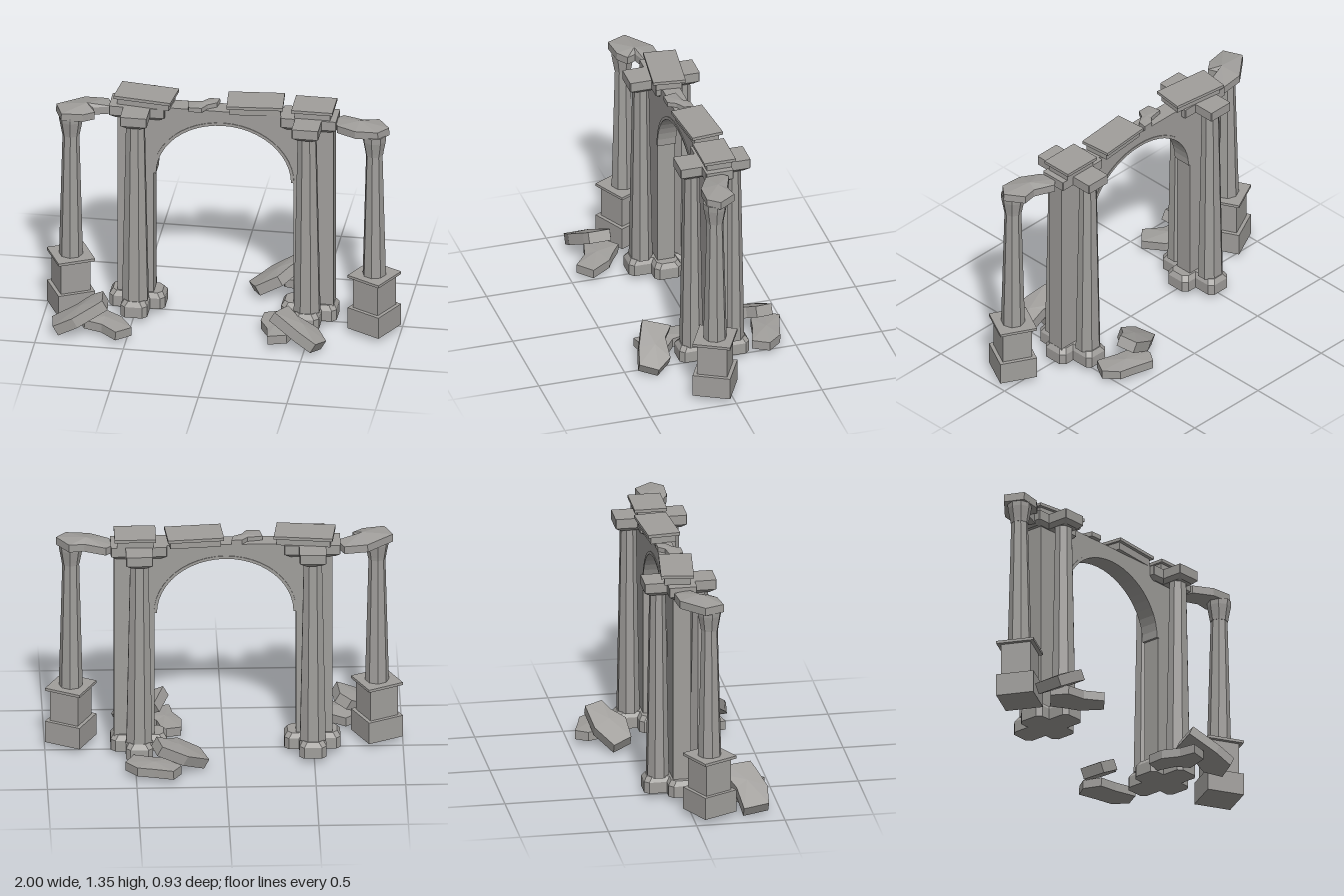
import * as THREE from 'three';

const stone = new THREE.MeshStandardMaterial({ color: 0xa09e9b, flatShading: true });
stone.name = 'weatheredStone';

// Joins rings of [x, y, z] points, bottom to top; peak lifts the centre of the top face
function loft(rings, peak = 0) {
  const n = rings[0].length;
  let area = 0;
  rings[0].forEach((p, i) => {
    const q = rings[0][(i + 1) % n];
    area += p[0] * q[2] - q[0] * p[2];
  });
  if (area < 0) rings = rings.map(r => [...r].reverse());
  const centre = r => [0, 1, 2].map(k => r.reduce((s, p) => s + p[k], 0) / n);
  const bottom = rings[0], top = rings[rings.length - 1];
  const cb = centre(bottom), ct = centre(top);
  ct[1] += peak;
  const pos = [];
  const tri = (...pts) => pts.forEach(p => pos.push(...p));
  for (let i = 0; i < n; i++) {
    const j = (i + 1) % n;
    for (let k = 0; k + 1 < rings.length; k++) {
      const a = rings[k], b = rings[k + 1];
      tri(a[i], b[i], a[j]);
      tri(a[j], b[i], b[j]);
    }
    tri(cb, bottom[i], bottom[j]);
    tri(ct, top[j], top[i]);
  }
  const g = new THREE.BufferGeometry();
  g.setAttribute('position', new THREE.Float32BufferAttribute(pos, 3));
  g.computeVertexNormals();
  return g;
}

// Plus-shaped outline with clipped arm ends
function crossRing(y, inset, clip) {
  const hx = 0.157 - inset, hz = 0.203 - inset, ax = 0.075 - inset, az = 0.079 - inset;
  const q = [[hx, az - clip], [hx - clip, az], [ax, az], [ax, hz - clip], [ax - clip, hz]];
  const flip = (sx, sz, rev) => {
    const r = q.map(([x, z]) => [x * sx, y, z * sz]);
    return rev ? r.reverse() : r;
  };
  return [...flip(1, 1), ...flip(-1, 1, true), ...flip(-1, -1), ...flip(1, -1, true)];
}

// Broken slab: top outline [x, z], sloped along x, with thickness square to the slope
function slab(outline, x0, y0, slope, thick, peak) {
  const len = Math.hypot(1, slope);
  const nx = -slope / len * thick, ny = thick / len;
  const top = outline.map(([x, z]) => [x, y0 + slope * (x - x0), z]);
  const bottom = top.map(([x, y, z]) => [x - nx, y - ny, z]);
  return loft([bottom, top], peak);
}

export function createModel() {
  const model = new THREE.Group();
  model.name = 'ruinedArch';
  const add = (name, geo, x = 0, y = 0, z = 0, parent = model) => {
    const m = new THREE.Mesh(geo, stone);
    m.name = name;
    m.position.set(x, y, z);
    parent.add(m);
    return m;
  };
  const box = (w, h, d) => new THREE.BoxGeometry(w, h, d);
  const ZC = -0.016, CX = -0.005;

  // Wall with arched opening
  const wall = new THREE.Shape();
  wall.moveTo(-0.605, 0.1);
  wall.lineTo(-0.4, 0.1);
  wall.lineTo(-0.4, 0.88);
  wall.absellipse(CX, 0.88, 0.395, 0.345, Math.PI, 0, true);
  wall.lineTo(0.39, 0.1);
  wall.lineTo(0.615, 0.1);
  wall.lineTo(0.615, 1.298);
  wall.lineTo(-0.605, 1.298);
  add('archWall', new THREE.ExtrudeGeometry(wall, { depth: 0.1, bevelEnabled: false, curveSegments: 12 }), 0, 0, ZC - 0.05);

  // Thin lining of the arch
  const trim = new THREE.Shape();
  trim.absellipse(CX, 0.88, 0.398, 0.348, Math.PI, 0, true);
  trim.lineTo(CX + 0.381, 0.88);
  trim.absellipse(CX, 0.88, 0.381, 0.331, 0, Math.PI, false);
  add('archTrim', new THREE.ExtrudeGeometry(trim, { depth: 0.108, bevelEnabled: false, curveSegments: 12 }), 0, 0, ZC - 0.054);

  // Cross-shaped bases and caps, with a shaft before and behind each pier
  const base = loft([crossRing(0.035, 0, 0.025), crossRing(0.1, 0, 0.025), crossRing(0.127, 0.018, 0.025)]);
  const cap = loft([crossRing(1.22, 0.022, 0.012), crossRing(1.242, 0, 0.004), crossRing(1.298, 0, 0.004)]);
  const shaft = new THREE.CylinderGeometry(0.055, 0.078, 1.1, 8);
  shaft.rotateY(Math.PI / 8);
  shaft.scale(1, 1, 0.84);
  for (const [side, x] of [['right', -0.492], ['left', 0.477]]) {
    add(side + 'PierBase', base, x, 0, ZC);
    add(side + 'PierCap', cap, x, 0, ZC);
    add(side + 'FrontShaft', shaft, x, 0.672, ZC + 0.12);
    add(side + 'BackShaft', shaft, x, 0.672, ZC - 0.12);
  }

  // Remaining cornice blocks
  for (const [x, z, w, turn] of [[-0.45, -0.022, 0.33, -0.125], [0.167, -0.025, 0.315, 0.09], [0.498, -0.023, 0.232, 0]]) {
    const block = new THREE.Group();
    block.name = 'corniceBlock';
    block.position.set(x, 1.295, z);
    block.rotation.y = turn;
    add('corniceBody', box(w - 0.03, 0.045, 0.145), 0, 0.0225, 0, block);
    add('corniceLip', box(w, 0.018, 0.184), 0, 0.052, 0, block);
    model.add(block);
  }

  // Free-standing columns on turned pedestals
  const capital = new THREE.LatheGeometry(
    [[0, 1.125], [0.05, 1.125], [0.053, 1.145], [0.066, 1.215], [0.068, 1.25], [0, 1.25]].map(p => new THREE.Vector2(...p)), 8);
  capital.rotateY(Math.PI / 8);
  for (const [side, x, z, turn] of [['right', -0.857, 0.097, 0.464], ['left', 0.853, 0.08, -0.486]]) {
    const column = new THREE.Group();
    column.name = side + 'OuterColumn';
    column.position.set(x, 0, z);
    column.rotation.y = turn;
    add('pedestalFoot', box(0.214, 0.13, 0.214), 0, 0.1, 0, column);
    add('pedestalBody', box(0.172, 0.2, 0.172), 0, 0.26, 0, column);
    add('pedestalLip', box(0.214, 0.016, 0.214), 0, 0.362, 0, column);
    add('outerShaft', new THREE.CylinderGeometry(0.047, 0.067, 0.77, 8), 0, 0.75, 0, column).rotation.y = Math.PI / 8;
    add('capital', capital, 0, 0, 0, column);
    model.add(column);
  }

  // Broken beams between outer columns and piers, and a loose stone on the wall
  add('rightBrokenBeam', slab([[-0.945, 0.06], [-0.8, -0.06], [-0.67, -0.07], [-0.63, 0.02], [-0.74, 0.06],
    [-0.72, 0.11], [-0.78, 0.155], [-0.9, 0.17]], -0.945, 1.287, -0.04, 0.045, 0.025));
  add('leftBrokenBeam', slab([[0.62, -0.02], [0.66, -0.06], [0.78, -0.015], [0.865, -0.03], [0.935, 0.07],
    [0.88, 0.135], [0.75, 0.13], [0.64, 0.07]], 0.62, 1.28, 0.035, 0.045, 0.02));
  add('looseStone', slab([[-0.215, -0.015], [-0.13, -0.03], [-0.1, -0.065], [-0.04, -0.07], [-0.05, -0.015],
    [-0.1, 0.015], [-0.125, 0.06], [-0.2, 0.06]], -0.215, 1.322, 0.02, 0.027, 0.007));

  // Fallen slabs: one lying flat and one leaning in each heap
  add('flatSlab', slab([[-0.685, 0.175], [-0.61, 0.23], [-0.545, 0.27], [-0.47, 0.385], [-0.55, 0.46],
    [-0.64, 0.385], [-0.74, 0.36], [-0.79, 0.27]], -0.685, 0.09, -0.04, 0.052, 0.015));
  add('leaningSlab', slab([[-0.935, 0.28], [-0.8, 0.26], [-0.72, 0.215], [-0.655, 0.235], [-0.64, 0.365],
    [-0.68, 0.385], [-0.8, 0.435], [-0.91, 0.425]], -0.935, 0.06, 0.56, 0.063, 0.012));
  add('flatSlab', slab([[0.235, 0.1], [0.34, 0.07], [0.37, 0.18], [0.44, 0.23], [0.4, 0.36],
    [0.295, 0.385], [0.28, 0.29], [0.23, 0.2]], 0.235, 0.085, 0.03, 0.052, 0.01));
  add('leaningSlab', slab([[0.385, 0.195], [0.445, 0.245], [0.56, 0.25], [0.62, 0.335], [0.575, 0.435],
    [0.48, 0.41], [0.33, 0.345]], 0.345, 0.212, -0.56, 0.063, 0.012));
  add('flatSlab', slab([[0.295, -0.468], [0.4, -0.435], [0.495, -0.41], [0.56, -0.33], [0.51, -0.24],
    [0.39, -0.28], [0.29, -0.3], [0.25, -0.4]], 0.25, 0.09, -0.02, 0.052, 0.012));
  add('leaningSlab', slab([[0.09, -0.28], [0.21, -0.37], [0.355, -0.4], [0.385, -0.3], [0.325, -0.26],
    [0.265, -0.185], [0.14, -0.175]], 0.09, 0.068, 0.53, 0.063, 0.012));

  return model;
}
